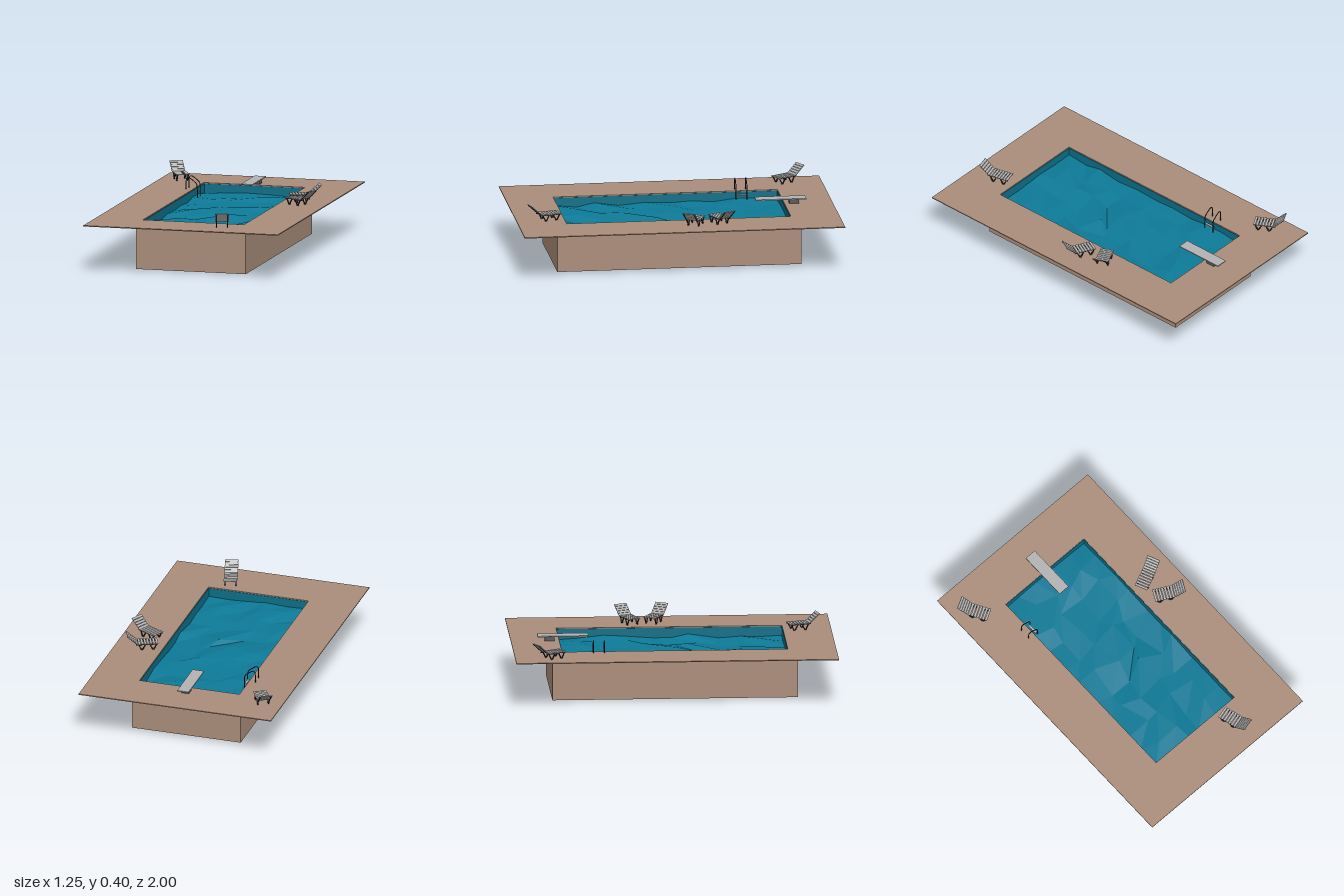
import * as THREE from 'three';

const mat = (name, color) => {
  const m = new THREE.MeshStandardMaterial({ color });
  m.name = name;
  return m;
};

export function createModel() {
  const stone = mat('tan stone', 0xaa8d7b);
  const waterBlue = mat('water blue', 0x0d7a97);
  const liner = mat('pool liner', 0x0c6f88);
  const slatGrey = mat('light grey', 0xb2b2b2);
  const frameDark = mat('dark frame', 0x25272a);
  const baseGrey = mat('board base grey', 0x5a5a5a);

  const DECK = 0.3, UNDER = 0.294, HX = 0.325, HZ = 0.7;
  const model = new THREE.Group();
  model.name = 'swimmingPool';

  const add = (parent, name, geometry, material) => {
    const mesh = new THREE.Mesh(geometry, material);
    mesh.name = name;
    parent.add(mesh);
    return mesh;
  };
  const box = (parent, name, material, w, h, d, x, y, z) => {
    const mesh = add(parent, name, new THREE.BoxGeometry(w, h, d), material);
    mesh.position.set(x, y, z);
    return mesh;
  };
  // Straight square bar between two points
  const bar = (parent, name, material, a, b, t) => {
    const p = new THREE.Vector3(...a), q = new THREE.Vector3(...b);
    const mesh = add(parent, name, new THREE.BoxGeometry(t, t, p.distanceTo(q)), material);
    mesh.position.copy(p).add(q).multiplyScalar(0.5);
    mesh.quaternion.setFromUnitVectors(new THREE.Vector3(0, 0, 1), q.sub(p).normalize());
    return mesh;
  };

  // Flat rectangular ring around the pool opening
  const ring = (name, x, z, y0, y1) => {
    const rect = (T, a, b) => new T([[-a, -b], [a, -b], [a, b], [-a, b]].map(p => new THREE.Vector2(...p)));
    const shape = rect(THREE.Shape, x, z);
    shape.holes.push(rect(THREE.Path, HX, HZ));
    const g = new THREE.ExtrudeGeometry(shape, { depth: y1 - y0, bevelEnabled: false });
    g.rotateX(-Math.PI / 2).translate(0, y0, 0);
    return add(model, name, g, stone);
  };
  ring('deck', 0.625, 1, UNDER, DECK);
  ring('basinWalls', 0.353, 0.762, 0.02, UNDER);
  box(model, 'basinFloor', stone, 0.706, 0.02, 1.524, 0, 0.01, 0);

  // Liner plates inside the basin
  const lh = UNDER - 0.02, ly = 0.02 + lh / 2;
  for (const s of [-1, 1]) {
    box(model, 'linerSide', liner, 0.003, lh, HZ * 2, s * (HX - 0.0015), ly, 0);
    box(model, 'linerEnd', liner, HX * 2, lh, 0.003, 0, ly, s * (HZ - 0.0015));
  }

  // Rippled water with irregular flat facets
  let seed = 7;
  const rnd = () => {
    seed = (seed * 16807) % 2147483647;
    return seed / 2147483647 - 0.5;
  };
  const plane = new THREE.PlaneGeometry(HX * 2, HZ * 2, 5, 10).rotateX(-Math.PI / 2);
  const p = plane.attributes.position;
  for (let i = 0; i < p.count; i++) {
    const x = p.getX(i), z = p.getZ(i);
    const jx = rnd() * 0.08, jz = rnd() * 0.08;
    p.setXYZ(i,
      Math.abs(x) > HX - 0.01 ? x : x + jx,
      0.24 + rnd() * 0.03,
      Math.abs(z) > HZ - 0.01 ? z : z + jz);
  }
  const waterGeo = plane.toNonIndexed();
  waterGeo.computeVertexNormals();
  add(model, 'water', waterGeo, waterBlue);

  // Diving board
  const diving = new THREE.Group();
  diving.name = 'divingBoard';
  box(diving, 'board', slatGrey, 0.074, 0.007, 0.315, 0, 0.331, -0.677);
  box(diving, 'boardBase', baseGrey, 0.048, 0.028, 0.06, 0, 0.314, -0.76);
  model.add(diving);

  // Ladder with two bent handrails and steps
  const ladder = new THREE.Group();
  ladder.name = 'ladder';
  const bend = [[-0.366, DECK], [-0.366, 0.35], [-0.364, 0.366], [-0.356, 0.374], [-0.345, 0.372],
    [-0.31, 0.347], [-0.3, 0.337], [-0.296, 0.322], [-0.296, 0.15]];
  for (const z of [-0.507, -0.439]) {
    const path = new THREE.CatmullRomCurve3(bend.map(([x, y]) => new THREE.Vector3(x, y, z)), false, 'centripetal');
    add(ladder, 'handrail', new THREE.TubeGeometry(path, 40, 0.003, 8), frameDark);
  }
  for (const y of [0.28, 0.23, 0.18]) box(ladder, 'step', slatGrey, 0.014, 0.005, 0.066, -0.303, y, -0.473);
  model.add(ladder);

  // Sun lounger: local z runs from the foot end to the head end
  const lounger = (fx, fz, hx, hz) => {
    const g = new THREE.Group();
    g.name = 'sunLounger';
    const SEAT = 0.041, L = 0.128, W = 0.084, dz = 0.067, dy = 0.059;
    for (let i = 0; i < 7; i++) {
      box(g, 'seatSlat', slatGrey, W, 0.004, 0.0145, 0, SEAT + 0.002, 0.0085 + i * 0.0182);
    }
    for (let i = 0; i < 5; i++) {
      const t = (i + 0.5) / 5;
      const slat = box(g, 'backSlat', slatGrey, W, 0.004, 0.0155, 0, SEAT + 0.001 + t * dy, L + t * dz);
      slat.rotation.x = -Math.atan2(dy, dz);
    }
    for (const s of [-1, 1]) {
      const x = s * 0.034;
      bar(g, 'seatRail', frameDark, [x, SEAT - 0.003, 0.002], [x, SEAT - 0.003, L + 0.012], 0.005);
      bar(g, 'backRail', frameDark, [x, SEAT - 0.003, L + 0.002], [x, SEAT + dy - 0.004, L + dz], 0.004);
      // V-shaped legs meeting at the ground
      for (const z of [0.032, 0.102]) {
        for (const d of [-0.022, 0.022]) {
          bar(g, 'leg', frameDark, [x, 0.002, z + d * 0.1], [x, SEAT - 0.003, z + d], 0.006);
        }
      }
    }
    g.position.set(fx, DECK, fz);
    g.rotation.y = Math.atan2(hx - fx, hz - fz);
    model.add(g);
  };
  lounger(-0.458, -0.703, -0.553, -0.873);
  lounger(0.362, -0.212, 0.542, -0.292);
  lounger(0.386, -0.119, 0.563, -0.029);
  lounger(0.193, 0.73, 0.243, 0.915);

  return model;
}
